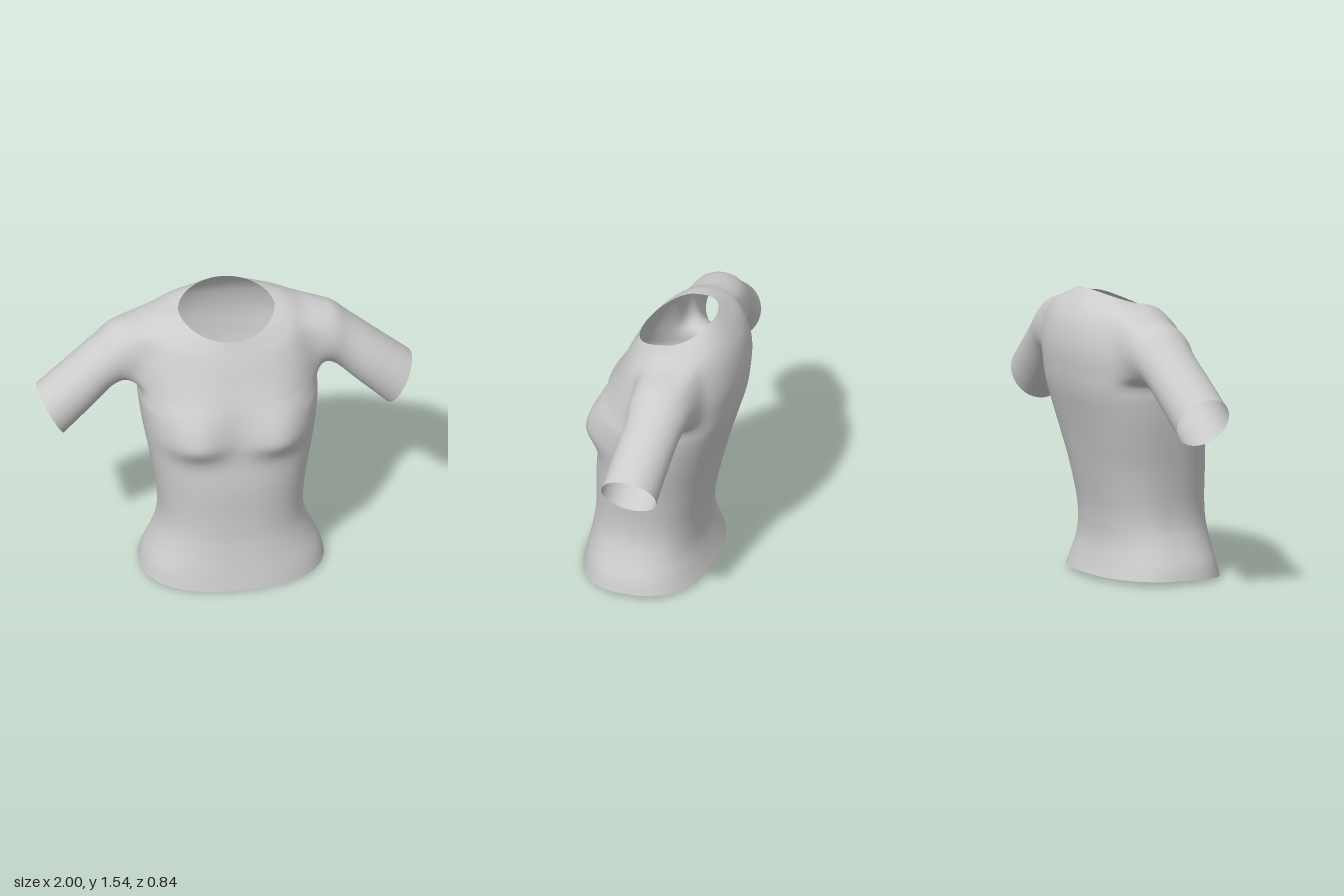
import * as THREE from 'three';

const COLS = 96, SUB = 5, CX = 0.012;

// Torso rings, hem to neckline: y front, y side, y back, half width, z front, z back, z at sides, squareness
const RINGS = [
  [0.01, 0.03, 0.03, 0.49, 0.42, -0.275, 0.07, 2.4],
  [0.10, 0.10, 0.10, 0.468, 0.40, -0.25, 0.07, 2.4],
  [0.20, 0.20, 0.20, 0.42, 0.38, -0.225, 0.06, 2.4],
  [0.30, 0.30, 0.30, 0.388, 0.365, -0.225, 0.05, 2.4],
  [0.42, 0.42, 0.42, 0.385, 0.358, -0.24, 0.04, 2.4],
  [0.60, 0.60, 0.60, 0.41, 0.355, -0.28, 0.03, 2.4],
  [0.76, 0.76, 0.76, 0.44, 0.338, -0.32, 0.01, 2.5],
  [0.90, 0.90, 0.90, 0.463, 0.325, -0.36, -0.02, 2.5],
  [1.02, 1.02, 1.02, 0.475, 0.305, -0.395, -0.04, 2.5],
  [1.10, 1.09, 1.12, 0.478, 0.28, -0.412, -0.07, 2.4],
  [1.18, 1.22, 1.25, 0.475, 0.245, -0.42, -0.09, 2.4],
  [1.26, 1.35, 1.37, 0.455, 0.21, -0.40, -0.10, 2.3],
  [1.32, 1.44, 1.45, 0.42, 0.18, -0.36, -0.10, 2.2],
  [1.365, 1.475, 1.51, 0.34, 0.157, -0.31, -0.08, 2.0],
  [1.40, 1.487, 1.55, 0.255, 0.14, -0.265, -0.07, 2.0],
];
const ROWS = (RINGS.length - 1) * SUB;

// Armhole, in rows and columns of the torso grid
const HOLE = { r0: 9 * SUB, r1: 12 * SUB, c0: -10, c1: 6 };

// Sleeve sections, shoulder to cuff: top x, top y, bottom x, bottom y, z front, z back
const SLEEVE = [
  [0.565, 1.425, 0.515, 1.085, 0.055, -0.29],
  [0.68, 1.335, 0.575, 1.075, 0.04, -0.265],
  [0.84, 1.21, 0.71, 0.955, 0.06, -0.24],
  [1.0, 1.085, 0.857, 0.82, 0.08, -0.22],
];

// Smooth interpolation between neighbouring rings
function ringAt(row) {
  const k = Math.min(Math.floor(row / SUB), RINGS.length - 2), t = row / SUB - k;
  const key = (i) => RINGS[Math.max(0, Math.min(RINGS.length - 1, i))];
  return RINGS[k].map((b, i) => {
    const a = key(k - 1)[i], c = key(k + 1)[i], d = key(k + 2)[i];
    return b + 0.5 * t * (c - a + t * (2 * a - 5 * b + 4 * c - d + t * (3 * (b - c) + d - a)));
  });
}

// Fullness of the chest, softer above than below
function bust(x, y) {
  const dx = (Math.abs(x) - 0.25) / 0.125, dy = (y - 0.88) / (y < 0.88 ? 0.062 : 0.13);
  return 0.085 * Math.exp(-0.5 * (dx * dx + dy * dy));
}

function torsoPoint(row, col) {
  const [yF, yS, yB, hw, zF, zB, zS, n] = ringAt(row);
  const a = (col / COLS) * Math.PI * 2, c = Math.cos(a), s = Math.sin(a);
  const x = hw * Math.sign(c) * Math.abs(c) ** (2 / n);
  const depth = Math.abs(s) ** (2 / n);
  const y = yS + ((s > 0 ? yF : yB) - yS) * depth ** 1.4;
  let z = zS + ((s > 0 ? zF : zB) - zS) * depth;
  if (s > 0) z += bust(x, y) * depth;
  return new THREE.Vector3(x + CX, y, z);
}

// Relax the surface around the armholes so sleeve and body flow together
function relaxArmholes(points, index) {
  const near = points.map(() => new Set());
  for (let i = 0; i < index.length; i += 3) {
    for (let k = 0; k < 3; k++) {
      const a = index[i + k], b = index[i + (k + 1) % 3];
      near[a].add(b);
      near[b].add(a);
    }
  }
  for (let pass = 0; pass < 8; pass++) {
    const old = points.map((p) => p.clone());
    points.forEach((p, i) => {
      const w = 1 - Math.abs(Math.abs(p.x) - 0.47) / 0.13;
      if (w <= 0 || p.y < 1.02 || near[i].size === 0) return;
      const mean = new THREE.Vector3();
      near[i].forEach((j) => mean.add(old[j]));
      p.lerp(mean.divideScalar(near[i].size), 0.7 * Math.min(1, 2 * w));
    });
  }
}

function shirtGeometry() {
  const points = [], index = [];
  const quad = (a, b, c, d) => index.push(b, a, d, b, d, c);
  const id = (r, c) => r * COLS + ((c + COLS) % COLS);

  // Torso grid, leaving the two armholes open
  for (let r = 0; r <= ROWS; r++) for (let c = 0; c < COLS; c++) points.push(torsoPoint(r, c));
  const inHole = (r, c) => r >= HOLE.r0 && r < HOLE.r1 && c >= HOLE.c0 && c < HOLE.c1;
  for (let r = 0; r < ROWS; r++) {
    for (let c = -COLS / 4; c < (COLS * 3) / 4; c++) {
      if (inHole(r, c) || inHole(r, COLS / 2 - 1 - c)) continue;
      quad(id(r, c), id(r, c + 1), id(r + 1, c + 1), id(r + 1, c));
    }
  }

  // Sleeves grow out of the armhole edges
  for (const side of [1, -1]) {
    const { r0, r1, c0, c1 } = HOLE, loop = [];
    const add = (r, c) => loop.push(id(r, side > 0 ? c : COLS / 2 - c));
    for (let c = c0; c < c1; c++) add(r0, c);
    for (let r = r0; r < r1; r++) add(r, c1);
    for (let c = c1; c > c0; c--) add(r1, c);
    for (let r = r1; r > r0; r--) add(r, c0);
    if (side < 0) loop.reverse();

    const steps = SLEEVE.length * SUB, n = loop.length, base = points.length;
    const curves = loop.map((v) => {
      const h = points[v];
      const a = Math.atan2((h.z + 0.11) / 0.17, (h.y - 1.28) / 0.18);
      const u = Math.cos(a), w = Math.sin(a);
      const path = SLEEVE.map(([tx, ty, bx, by, zf, zb]) => new THREE.Vector3(
        side * ((tx + bx) / 2 + (u * (tx - bx)) / 2),
        (ty + by) / 2 + (u * (ty - by)) / 2,
        (zf + zb) / 2 + (w * (zf - zb)) / 2));
      return new THREE.CatmullRomCurve3([h.clone(), ...path]);
    });
    for (let s = 1; s <= steps; s++) curves.forEach((curve) => points.push(curve.getPoint(s / steps)));
    const sid = (s, i) => (s === 0 ? loop[i % n] : base + (s - 1) * n + (i % n));
    for (let s = 0; s < steps; s++) {
      for (let i = 0; i < n; i++) quad(sid(s, i), sid(s, i + 1), sid(s + 1, i + 1), sid(s + 1, i));
    }
  }

  relaxArmholes(points, index);
  const geometry = new THREE.BufferGeometry().setFromPoints(points);
  geometry.setIndex(index);
  geometry.computeVertexNormals();
  return geometry;
}

export function createModel() {
  const group = new THREE.Group();
  group.name = 'fittedShirt';
  const fabric = new THREE.MeshStandardMaterial({ color: 0xcccccc, side: THREE.DoubleSide });
  fabric.name = 'light grey fabric';
  const shirt = new THREE.Mesh(shirtGeometry(), fabric);
  shirt.name = 'shirtBodyAndSleeves';
  group.add(shirt);
  return group;
}
